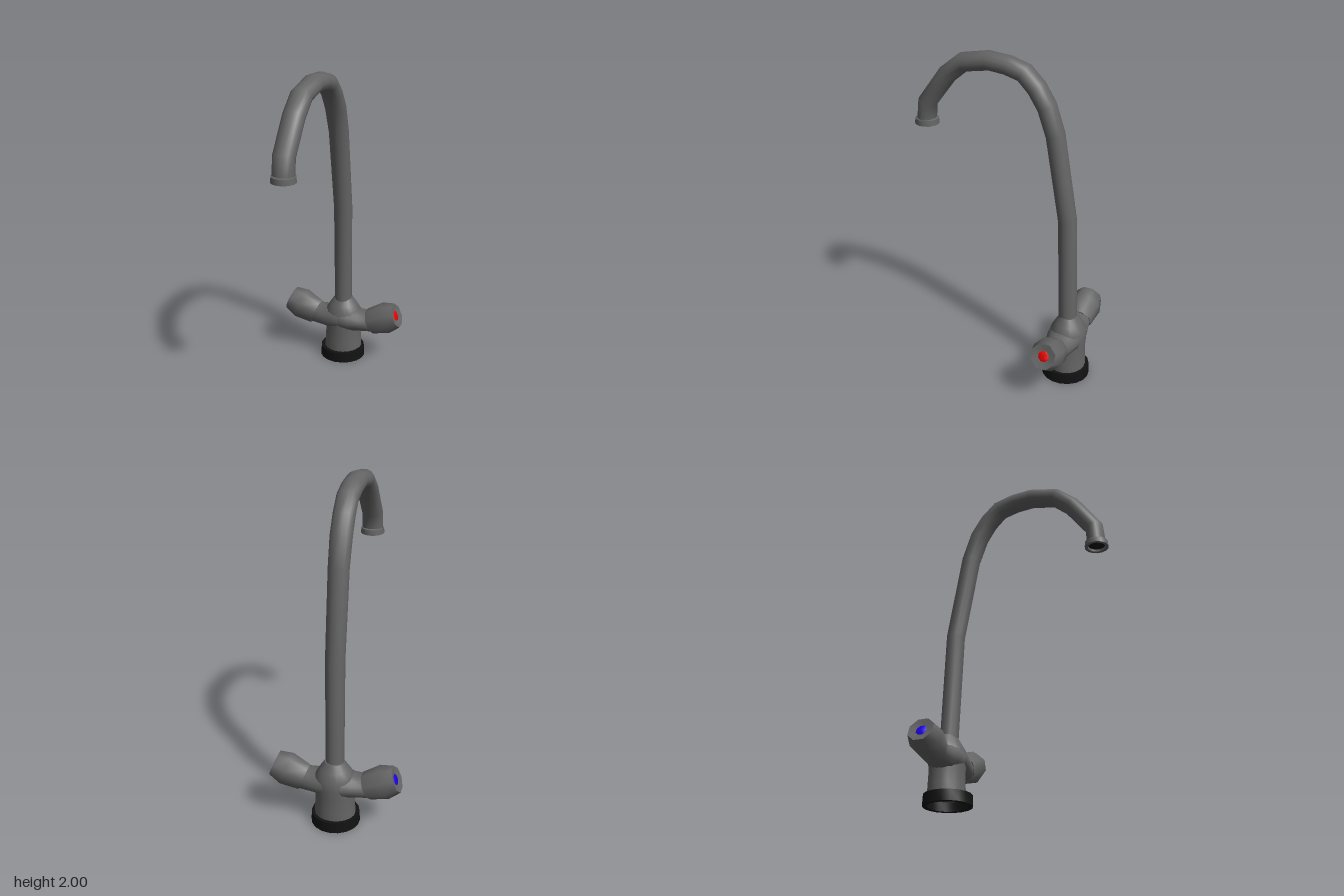
import * as THREE from 'three';
import { toCreasedNormals } from 'three/addons/utils/BufferGeometryUtils.js';

const BASE_Z = -0.43;

function mat(name, color) {
  const m = new THREE.MeshStandardMaterial({ color });
  m.name = name;
  return m;
}

function mesh(name, geometry, material, parent) {
  const m = new THREE.Mesh(geometry, material);
  m.name = name;
  parent.add(m);
  return m;
}

// Lathe from [radius, height] pairs, with sharp edges kept
function lathe(points, sides, phi = 0, crease = 0.9) {
  const g = new THREE.LatheGeometry(points.map(([r, y]) => new THREE.Vector2(r, y)), sides, phi);
  return toCreasedNormals(g, crease);
}

// Skin elliptical sections { c: centre, t: direction, ru, rv }; u is the shared cross axis
function loft(sections, u, sides) {
  const pos = [], index = [];
  sections.forEach(({ c, t, ru, rv }, i) => {
    const v = t.clone().cross(u).normalize();
    for (let j = 0; j < sides; j++) {
      const a = (j / sides) * Math.PI * 2;
      const p = c.clone().addScaledVector(u, ru * Math.cos(a)).addScaledVector(v, rv * Math.sin(a));
      pos.push(p.x, p.y, p.z);
      if (i === 0) continue;
      const k = (j + 1) % sides, lo = (i - 1) * sides, hi = i * sides;
      index.push(lo + j, lo + k, hi + k, lo + j, hi + k, hi + j);
    }
  });
  const g = new THREE.BufferGeometry();
  g.setAttribute('position', new THREE.Float32BufferAttribute(pos, 3));
  g.setIndex(index);
  g.computeVertexNormals();
  return g;
}

// Swan-neck pipe along a [z, y] path, widening sideways toward the tip
function pipeGeometry() {
  const path = [
    [-0.431, 0.36], [-0.407, 1.053], [-0.317, 1.571], [-0.262, 1.73], [-0.198, 1.83], [-0.122, 1.905],
    [-0.02, 1.934], [0.095, 1.944], [0.257, 1.912], [0.362, 1.825], [0.498, 1.64], [0.508, 1.53],
  ].map(([z, y]) => new THREE.Vector3(0, y, z));
  const last = path.length - 1;
  const sections = path.map((c, i) => {
    const back = c.clone().sub(path[Math.max(i - 1, 0)]).normalize();
    const ahead = path[Math.min(i + 1, last)].clone().sub(c).normalize();
    return { c, t: back.add(ahead).normalize(), ru: 0.055 + 0.01 * Math.min(i / 3, 1), rv: 0.056 };
  });
  return loft(sections, new THREE.Vector3(1, 0, 0), 14);
}

// Side arm of the body, tilting up toward the knob
function armGeometry(side) {
  const sections = [
    [0, 0.275, 0, 0.11, 0.085], [0.06, 0.272, 0, 0.108, 0.083], [0.12, 0.268, 0.15, 0.09, 0.071],
    [0.19, 0.272, 0.384, 0.077, 0.073],
  ].map(([x, y, tilt, ru, rv]) => ({
    c: new THREE.Vector3(side * x, y, BASE_Z),
    t: new THREE.Vector3(side * Math.cos(tilt), Math.sin(tilt), 0),
    ru, rv,
  }));
  return loft(sections, new THREE.Vector3(0, 0, 1), 14);
}

export function createModel() {
  const metal = mat('grey metal', 0x646464);
  const black = mat('black rubber', 0x121212);
  const red = mat('hot red', 0xff0000);
  const blue = mat('cold blue', 0x2200ff);
  const model = new THREE.Group();
  model.name = 'kitchenTap';

  // Hollow base ring
  const ring = lathe([[0.118, 0], [0.146, 0], [0.143, 0.066], [0.118, 0.066], [0.118, 0]], 18);
  mesh('baseRing', ring, black, model).position.z = -0.427;

  // Body with rounded shoulder, closed underneath
  const body = lathe([
    [0, 0.055], [0.123, 0.055], [0.12, 0.12], [0.117, 0.2], [0.122, 0.26], [0.119, 0.325], [0.09, 0.37], [0.06, 0.415], [0, 0.42],
  ], 18);
  const bodyMesh = mesh('body', body, metal, model);
  bodyMesh.position.z = -0.437;
  bodyMesh.scale.z = 0.9;

  mesh('swanNeckPipe', pipeGeometry(), metal, model);

  // Collar at the spout tip with a dark recessed opening
  const spout = new THREE.Group();
  spout.name = 'spoutTip';
  spout.position.set(0, 1.503, 0.508);
  model.add(spout);
  mesh('spoutCollar', lathe([
    [0.052, 0.02], [0.054, 0], [0.073, 0], [0.07, 0.034], [0.058, 0.038],
  ], 14), metal, spout);
  const opening = mesh('spoutOpening', new THREE.CircleGeometry(0.054, 14), black, spout);
  opening.rotation.x = Math.PI / 2;
  opening.position.y = 0.015;

  // Arms, eight-sided knobs and coloured markers
  const knobGeometry = lathe([
    [0, 0], [0.083, 0], [0.102, 0.115], [0.08, 0.195], [0.034, 0.186],
  ], 8, Math.PI / 8);
  const markerGeometry = lathe([[0.036, 0.185], [0.026, 0.19], [0, 0.193]], 8, Math.PI / 8);
  for (const side of [1, -1]) {
    const label = side > 0 ? 'left' : 'right';
    mesh(label + 'Arm', armGeometry(side), metal, model);
    const knob = new THREE.Group();
    knob.name = label + 'Knob';
    knob.position.set(side * 0.19, 0.27, BASE_Z);
    knob.rotation.z = -side * THREE.MathUtils.degToRad(68);
    mesh(label + 'KnobGrip', knobGeometry, metal, knob);
    mesh(label + 'KnobMarker', markerGeometry, side > 0 ? red : blue, knob);
    model.add(knob);
  }
  return model;
}
